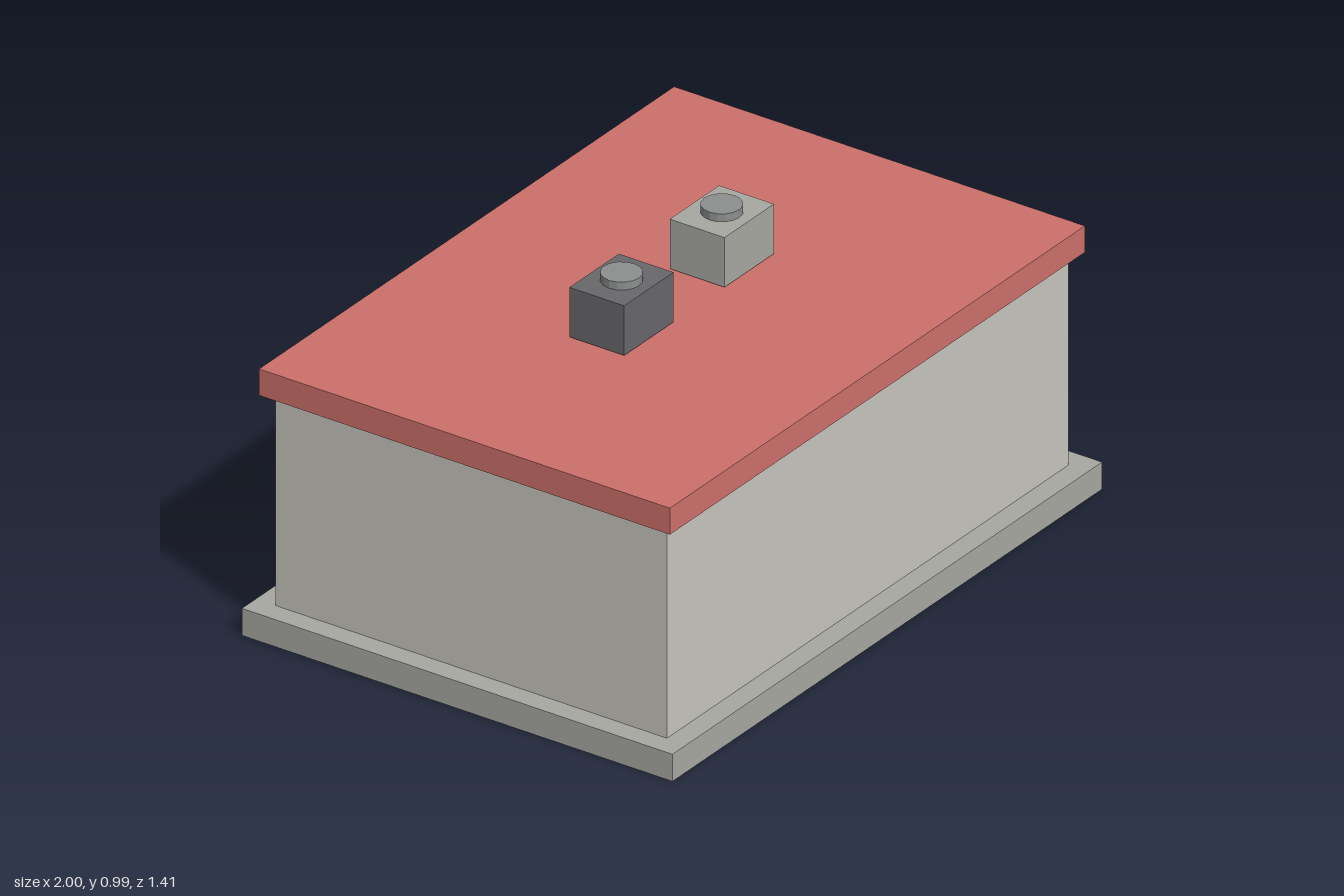
import * as THREE from 'three';

const material = (color) => new THREE.MeshStandardMaterial({ color, flatShading: true });

// Box given by its size, its centre in x and z, and its bottom height
function box(name, color, [w, h, d], x, bottom, z = 0) {
  const mesh = new THREE.Mesh(new THREE.BoxGeometry(w, h, d), material(color));
  mesh.name = name;
  mesh.position.set(x, bottom + h / 2, z);
  return mesh;
}

// Rooftop unit: a box with a short round vent on top
function rooftopUnit(name, color, x) {
  const unit = new THREE.Group();
  unit.name = name;
  unit.position.set(x, 0.818, 0);
  unit.add(box('housing', color, [0.23, 0.152, 0.18], 0, 0));
  const vent = new THREE.Mesh(new THREE.CylinderGeometry(0.058, 0.058, 0.024, 16), material(0x8c8f8d));
  vent.name = 'vent';
  vent.position.y = 0.152 + 0.012;
  unit.add(vent);
  return unit;
}

export function createModel() {
  const model = new THREE.Group();
  model.name = 'building';

  // Shell: slab, walls and overhanging flat roof
  model.add(box('baseSlab', 0xa8a8a3, [2, 0.083, 1.415], 0, 0));
  model.add(box('walls', 0xc7c5be, [1.87, 0.647, 1.287], 0, 0.083));
  model.add(box('roof', 0xcd706b, [1.932, 0.081, 1.35], 0, 0.73));

  // Raised panel on the +x wall
  model.add(box('sidePanel', 0x66839b, [0.033, 0.268, 0.233], 0.949, 0.202));

  // Two units on the roof
  model.add(rooftopUnit('darkRooftopUnit', 0x68686c, -0.235));
  model.add(rooftopUnit('lightRooftopUnit', 0xa8a8a3, 0.232));

  return model;
}
